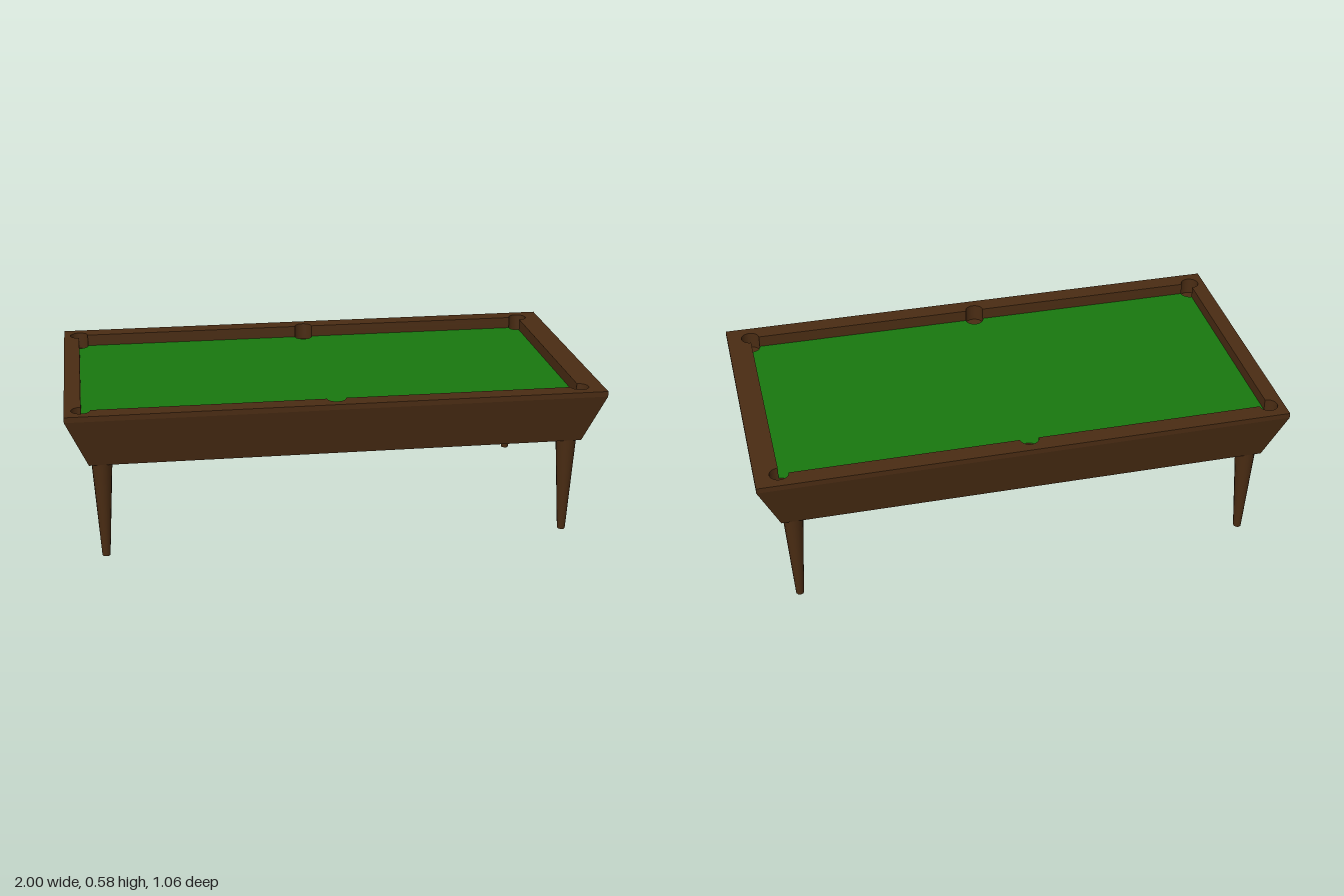
import * as THREE from 'three';

const WOOD = 0x4a2c13, FELT = 0x18780f;
const Y0 = 0.375, YF = 0.535, YL = 0.56, YT = 0.58; // underside, cloth, lip, top
const X0 = -0.94, X1 = 0.91, Z = 0.46, R = 0.035;   // playing field and pocket radius
const pockets = [[X0, -Z], [-0.01, -Z], [X1, -Z], [X1, Z], [-0.01, Z], [X0, Z]];

function createModel() {
  const group = new THREE.Group();
  const wood = new THREE.MeshStandardMaterial({ color: WOOD });
  const woodInside = new THREE.MeshStandardMaterial({ color: WOOD, side: THREE.BackSide });
  const cloth = new THREE.MeshStandardMaterial({ color: FELT });

  const add = (name, geometry, material = wood) => {
    const mesh = new THREE.Mesh(geometry, material);
    mesh.name = name;
    group.add(mesh);
    return mesh;
  };

  const rect = (a, b) => new THREE.Shape([[-a, -b], [a, -b], [a, b], [-a, b]].map(p => new THREE.Vector2(...p)));

  // Field outline; pocket arcs bulge outward (rail) or bite inward (cloth)
  const fieldOutline = (path, inward) => {
    pockets.forEach(([x, y], i) => {
      const prev = pockets[(i + 5) % 6], next = pockets[(i + 1) % 6];
      path.absarc(x, y, R, Math.atan2(prev[1] - y, prev[0] - x), Math.atan2(next[1] - y, next[0] - x), inward);
    });
    path.closePath();
    return path;
  };

  const slab = (shape, from, to) =>
    new THREE.ExtrudeGeometry(shape, { depth: to - from, bevelEnabled: false, curveSegments: 16 })
      .rotateX(-Math.PI / 2).translate(0, from, 0);

  // Top rail with its lip, and the cushion wall below it
  for (const [name, a, b, from, to] of [['topRail', 1, 0.53, YL, YT], ['cushionWall', 0.985, 0.515, YF - 0.005, YL]]) {
    const shape = rect(a, b);
    shape.holes.push(fieldOutline(new THREE.Path(), false));
    add(name, slab(shape, from, to));
  }

  // Cloth bed
  add('clothBed', slab(fieldOutline(new THREE.Shape(), true), YF - 0.01, YF), cloth);

  // Shallow pocket wells
  for (const [x, z] of pockets) {
    add('pocketWall', new THREE.CylinderGeometry(R, R, 0.025, 24, 1, true), woodInside)
      .position.set(x, YF - 0.0125, z);
    add('pocketFloor', new THREE.CircleGeometry(R, 24).rotateX(-Math.PI / 2)).position.set(x, YF - 0.02, z);
  }

  // Outward-sloping side panels
  const t = y => (y - Y0) / (YL - Y0);
  const outX = y => 0.92 + 0.08 * t(y), outZ = y => 0.485 + 0.045 * t(y);
  const lean = (geometry, out) => {
    const p = geometry.attributes.position;
    for (let i = 0; i < p.count; i++) p.setZ(i, out(p.getY(i)));
    geometry.computeVertexNormals();
    return geometry;
  };
  const ballSlot = { w: 0.1, y0: 0.41, y1: 0.48, depth: 0.14 };
  for (let k = 0; k < 4; k++) {
    const end = k % 2 === 1;
    const half = end ? outZ : outX, out = end ? outX : outZ;
    const shape = new THREE.Shape([[-half(Y0), Y0], [half(Y0), Y0], [half(YL), YL], [-half(YL), YL]]
      .map(p => new THREE.Vector2(...p)));
    if (k === 3) {
      const { w, y0, y1 } = ballSlot;
      shape.holes.push(new THREE.Path([[-w, y0], [-w, y1], [w, y1], [w, y0]].map(p => new THREE.Vector2(...p))));
    }
    add(end ? 'endPanel' : 'sidePanel', lean(new THREE.ShapeGeometry(shape), out).rotateY(k * Math.PI / 2));
  }

  // Ball return recess in one end, its mouth following the slope
  const { w, y0, y1, depth } = ballSlot;
  const recess = new THREE.BoxGeometry(2 * w, y1 - y0, 1).translate(0, (y0 + y1) / 2, 0);
  const p = recess.attributes.position;
  for (let i = 0; i < p.count; i++) p.setZ(i, p.getZ(i) > 0 ? outX(p.getY(i)) : outX(y0) - depth);
  add('ballReturn', recess.rotateY(-Math.PI / 2), woodInside);

  // Underside
  add('underside', new THREE.PlaneGeometry(1.84, 0.97).rotateX(Math.PI / 2)).position.y = Y0;

  // Tapered legs
  for (const sx of [-1, 1]) for (const sz of [-1, 1]) {
    const leg = add('leg', new THREE.CylinderGeometry(0.0425, 0.0165, Y0, 16));
    leg.scale.x = 0.9;
    leg.position.set(sx * 0.873, Y0 / 2, sz * 0.4425);
  }
  return group;
}

export { createModel };
